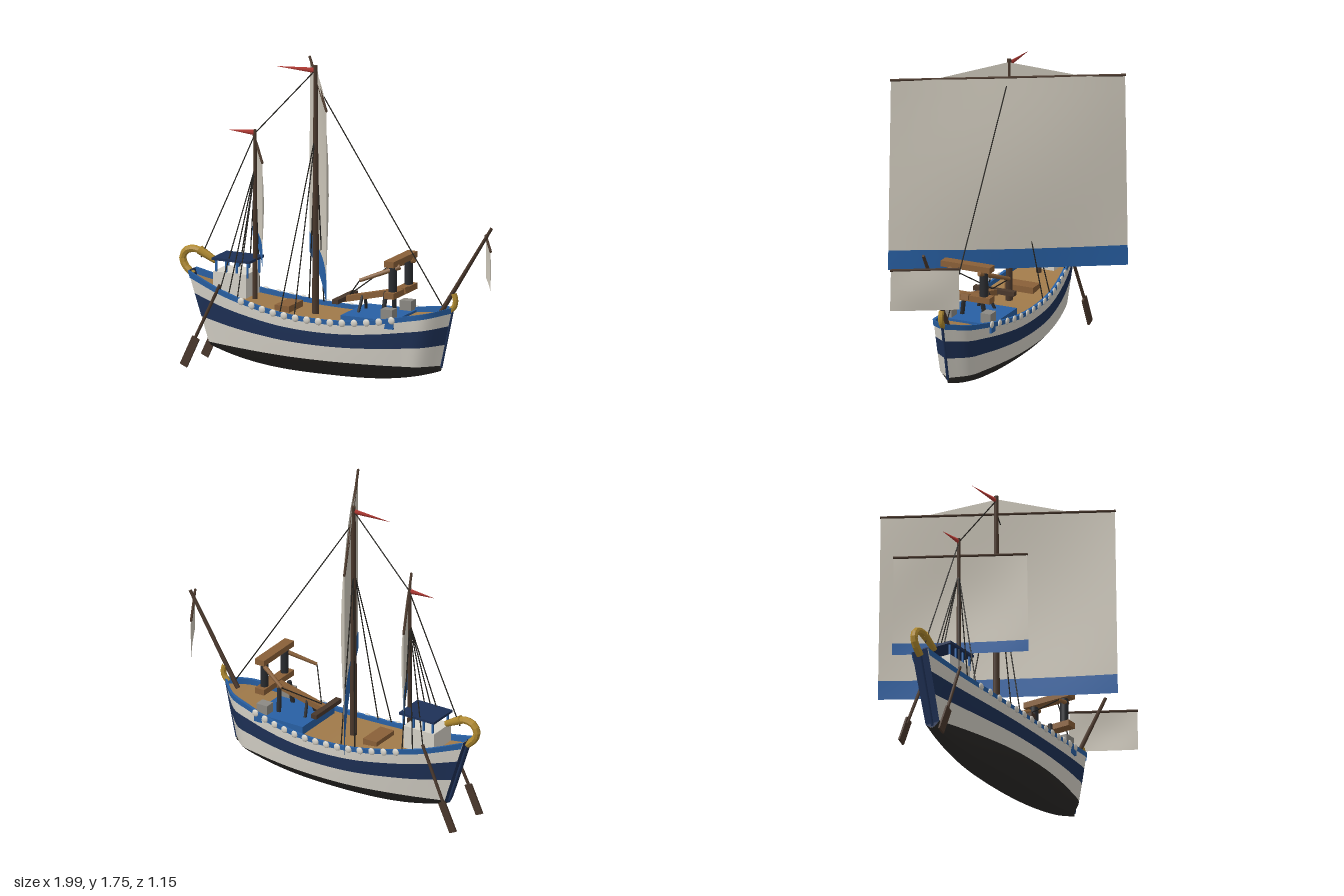
import * as THREE from 'three';

const C = {
  white: 0xd6d2c8, sail: 0xcfc9bc, navy: 0x1e3157, blue: 0x2860a4, black: 0x2e2c2a, deck: 0xa07a4a,
  gold: 0xb08a30, mast: 0x4a382c, wood: 0x8a6038, rope: 0x25231f, red: 0xb23a34, grey: 0x8c8a84, dark: 0x2a2c30,
};
const lerp = THREE.MathUtils.lerp;
const V = (x, y, z = 0) => new THREE.Vector3(x, y, z);

export function createModel() {
  const ship = new THREE.Group();
  ship.name = 'sailingShip';

  const add = (name, geometry, color, extra = {}) => {
    const mesh = new THREE.Mesh(geometry, new THREE.MeshStandardMaterial({ color, ...extra }));
    mesh.name = name;
    ship.add(mesh);
    return mesh;
  };
  // Round bar from a to b
  const rod = (name, a, b, r0, r1, color, sides = 8) => {
    const m = add(name, new THREE.CylinderGeometry(r1, r0, a.distanceTo(b), sides), color);
    m.position.copy(a).lerp(b, 0.5);
    m.quaternion.setFromUnitVectors(V(0, 1, 0), b.clone().sub(a).normalize());
    return m;
  };
  const box = (name, x, y, z, w, h, d, color, tilt = 0) => {
    const m = add(name, new THREE.BoxGeometry(w, h, d), color);
    m.position.set(x, y, z);
    m.rotation.z = tilt;
    return m;
  };
  const rope = (a, b) => rod('rigging', a, b, 0.0035, 0.0035, C.rope, 5);
  // Surface swept over u and v
  const surface = (name, nu, nv, fn, color) => {
    const pos = [], idx = [];
    for (let i = 0; i <= nu; i++) for (let j = 0; j <= nv; j++) pos.push(...fn(i / nu, j / nv));
    for (let i = 0; i < nu; i++) for (let j = 0; j < nv; j++) {
      const a = i * (nv + 1) + j, b = a + nv + 1;
      idx.push(a, b, a + 1, b, b + 1, a + 1);
    }
    const g = new THREE.BufferGeometry();
    g.setAttribute('position', new THREE.Float32BufferAttribute(pos, 3));
    g.setIndex(idx);
    g.computeVertexNormals();
    return add(name, g, color, { side: THREE.DoubleSide });
  };

  // Sheer line: x along the hull, y height, z half width
  const sheer = new THREE.CatmullRomCurve3([
    [-0.915, 0.53, 0.05], [-0.7, 0.462, 0.112], [-0.5, 0.42, 0.158], [-0.3, 0.39, 0.19], [-0.1, 0.377, 0.2],
    [0.1, 0.38, 0.193], [0.3, 0.402, 0.168], [0.45, 0.428, 0.138], [0.57, 0.45, 0.105], [0.68, 0.475, 0.006],
  ].map((p) => V(...p)));
  const sheerAt = (x) => {
    let lo = 0, hi = 1;
    for (let i = 0; i < 20; i++) {
      const m = (lo + hi) / 2;
      if (sheer.getPoint(m).x < x) lo = m; else hi = m;
    }
    return sheer.getPoint(lo);
  };
  // f: 1 at the rail, 0 at the waterline, -1 at the keel
  const hull = (u, f, side, out = 0) => {
    const p = sheer.getPoint(u), t = (p.x + 0.915) / 1.595;
    const x = lerp(lerp(-0.79, 0.607, t), p.x, Math.max(f, 0));
    if (f >= 0) return [x, lerp(0.14, p.y, f), side * (p.z * (0.91 + 0.09 * Math.sin(f * Math.PI / 2)) + out)];
    const keel = 0.018 + 0.092 * Math.abs(2 * t - 1) ** 2.8;
    return [x, lerp(0.14, keel, -f), side * p.z * 0.91 * (1 + f) ** 0.6];
  };
  const bands = [['hullBottom', -1, 0, C.black], ['lowerPlanks', 0, 0.36, C.white],
    ['navyStripe', 0.36, 0.68, C.navy], ['upperPlanks', 0.68, 1, C.white]];
  for (const s of [1, -1]) {
    for (const [name, f0, f1, color] of bands)
      surface(name, 48, 8, (u, v) => (s > 0 ? hull(u, lerp(f0, f1, v), s) : hull(u, lerp(f1, f0, v), s)), color);
    const ring = [[0.9, 0.006], [1, 0.006], [1, -0.012], [0.9, -0.012]];
    for (let k = 0; k < 3; k++)
      surface('rail', 48, 1, (u, v) => {
        const [f, out] = ring[k + v];
        return hull(u, f, s, out);
      }, C.blue);
    // Round shields below the rail
    for (let i = 0; i < 14; i++) {
      const p = sheerAt(-0.54 + i * 0.0708);
      const m = add('shield', new THREE.SphereGeometry(0.021, 12, 8), C.white);
      m.position.set(p.x, p.y - 0.012, s * (p.z + 0.006));
      m.scale.z = 0.4;
    }
  }
  surface('deck', 48, 2, (u, v) => {
    const [x, y, z] = hull(u, 0.9, 1);
    return [x, y, z * (1 - 2 * v)];
  }, C.deck);
  surface('transom', 8, 2, (u, v) => {
    const [x, y, z] = hull(0, u * 2 - 1, 1);
    return [x, y, z * (1 - 2 * v)];
  }, C.navy);
  rod('stem', V(0.607, 0.13), V(0.682, 0.48), 0.008, 0.008, C.navy);
  rod('sternPost', V(-0.79, 0.12), V(-0.918, 0.53), 0.008, 0.01, C.navy);

  // Stern swan neck and bow ornament
  const tube = (name, pts, r) =>
    add(name, new THREE.TubeGeometry(new THREE.CatmullRomCurve3(pts), 10, r, 8), C.gold, { flatShading: true });
  tube('swanNeck', [V(-0.91, 0.5), V(-0.96, 0.55), V(-0.972, 0.595), V(-0.945, 0.635), V(-0.89, 0.645), V(-0.84, 0.625)], 0.021);
  rod('swanHead', V(-0.87, 0.642), V(-0.77, 0.59), 0.026, 0.018, C.gold, 6);
  tube('bowOrnament', [V(0.665, 0.455), V(0.69, 0.485), V(0.695, 0.52), V(0.685, 0.555)], 0.016);

  // Masts and spar
  rod('mainMast', V(-0.16, 0.35), V(-0.16, 1.755), 0.021, 0.012, C.mast);
  rod('aftMast', V(-0.53, 0.4), V(-0.53, 1.355), 0.015, 0.009, C.mast);
  rod('bowSpar', V(0.6, 0.43), V(0.915, 0.945), 0.014, 0.009, C.mast);

  // Braced square sail on its yard; band is the height of the blue foot
  const dir = V(0.5, 0, 0.866), wind = V(0.866, 0, -0.5);
  const squareSail = (name, cx, top, bottom, half, band, bulge) => {
    const at = (a, y) => {
      const k = (top - y) / (top - bottom);
      const p = V(cx, y).addScaledVector(dir, a * half * (1 + 0.025 * k));
      return p.addScaledVector(wind, bulge * Math.cos(a * Math.PI / 2) * (0.3 + 0.7 * Math.sin(k * Math.PI))).toArray();
    };
    surface(name, 16, 12, (u, v) => at(2 * u - 1, lerp(top, bottom + band, v)), C.sail);
    if (band) surface(name + 'Foot', 16, 3, (u, v) => at(2 * u - 1, lerp(bottom + band, bottom, v)), C.blue);
    rod(name + 'Yard', V(cx, top).addScaledVector(dir, -half - 0.004), V(cx, top).addScaledVector(dir, half + 0.004),
      0.007, 0.007, C.mast);
  };
  squareSail('mainSail', -0.145, 1.652, 0.548, 0.645, 0.115, 0.05);
  squareSail('aftSail', -0.515, 1.256, 0.668, 0.367, 0.07, 0.03);
  squareSail('bowSail', 0.895, 0.858, 0.622, 0.187, 0, 0.012);
  surface('topSail', 8, 1, (u, v) =>
    V(-0.15, lerp(1.74, 1.655, v)).addScaledVector(dir, (2 * u - 1) * 0.385 * v).toArray(), C.sail);

  // Pennants
  for (const [x, y, len] of [[-0.16, 1.727, 0.245], [-0.53, 1.338, 0.165]]) {
    const m = add('pennant', new THREE.ConeGeometry(0.016, len, 4), C.red);
    m.rotation.z = Math.PI / 2;
    m.scale.z = 0.4;
    m.position.set(x - len / 2, y, 0);
  }

  // Stays and shrouds
  rope(V(-0.16, 1.66), V(0.62, 0.47));
  rope(V(-0.16, 1.73), V(-0.53, 1.335));
  rope(V(-0.53, 1.33), V(-0.86, 0.6));
  for (const s of [1, -1]) {
    for (const x of [-0.29, -0.2]) rope(V(-0.16, 1.37), V(x, 0.38, s * 0.185));
    for (const x of [-0.69, -0.63, -0.57]) {
      const p = sheerAt(x);
      rope(V(-0.53, 1.14), V(x, p.y, s * (p.z - 0.005)));
    }
  }

  for (const s of [1, -1]) {
    // Steering oars
    rod('steeringOar', V(-0.69, 0.485, s * 0.115), V(-0.85, 0.14, s * 0.13), 0.009, 0.009, C.mast);
    box('oarBlade', -0.865, 0.095, s * 0.132, 0.046, 0.18, 0.012, C.mast, -0.43);
    // Deckhouse canopy posts
    for (const x of [-0.73, -0.67, -0.605, -0.54]) box('canopyPost', x, 0.575, s * 0.075, 0.01, 0.09, 0.01, C.blue);
  }
  box('deckhouse', -0.645, 0.483, 0, 0.2, 0.135, 0.17, C.white);
  box('canopyRoof', -0.635, 0.622, 0, 0.23, 0.014, 0.185, C.navy);
  box('hatch', -0.325, 0.375, 0, 0.09, 0.05, 0.175, C.wood);

  // Catapult platform and frame
  box('catapultPlatform', 0.23, 0.378, 0, 0.32, 0.05, 0.32, C.blue);
  box('catapultStock', 0.21, 0.502, 0, 0.39, 0.032, 0.045, C.wood, 0.23);
  box('stockCrossbar', 0.02, 0.465, 0, 0.036, 0.025, 0.25, C.mast);
  for (const y of [0.537, 0.715]) box('frameBeam', 0.36, y, 0, 0.06, 0.034, 0.3, C.wood);
  for (const s of [1, -1]) {
    rod('torsionSpring', V(0.36, 0.55, s * 0.1), V(0.36, 0.7, s * 0.1), 0.024, 0.024, C.dark, 10);
    const tip = V(0.195, 0.615, s * 0.175);
    rod('throwingArm', V(0.4, 0.695, s * 0.09), tip, 0.015, 0.01, C.wood, 6);
    rope(tip, V(0.05, 0.485));
    rod('frontLeg', V(0.285, 0.4, s * 0.07), V(0.295, 0.535, s * 0.05), 0.013, 0.013, C.dark);
    rod('backLeg', V(0.125, 0.4, s * 0.05), V(0.135, 0.49, s * 0.015), 0.009, 0.009, C.dark);
    box('stoneCrate', 0.345, 0.432, s * 0.12, 0.07, 0.055, 0.06, C.grey);
  }
  return ship;
}
